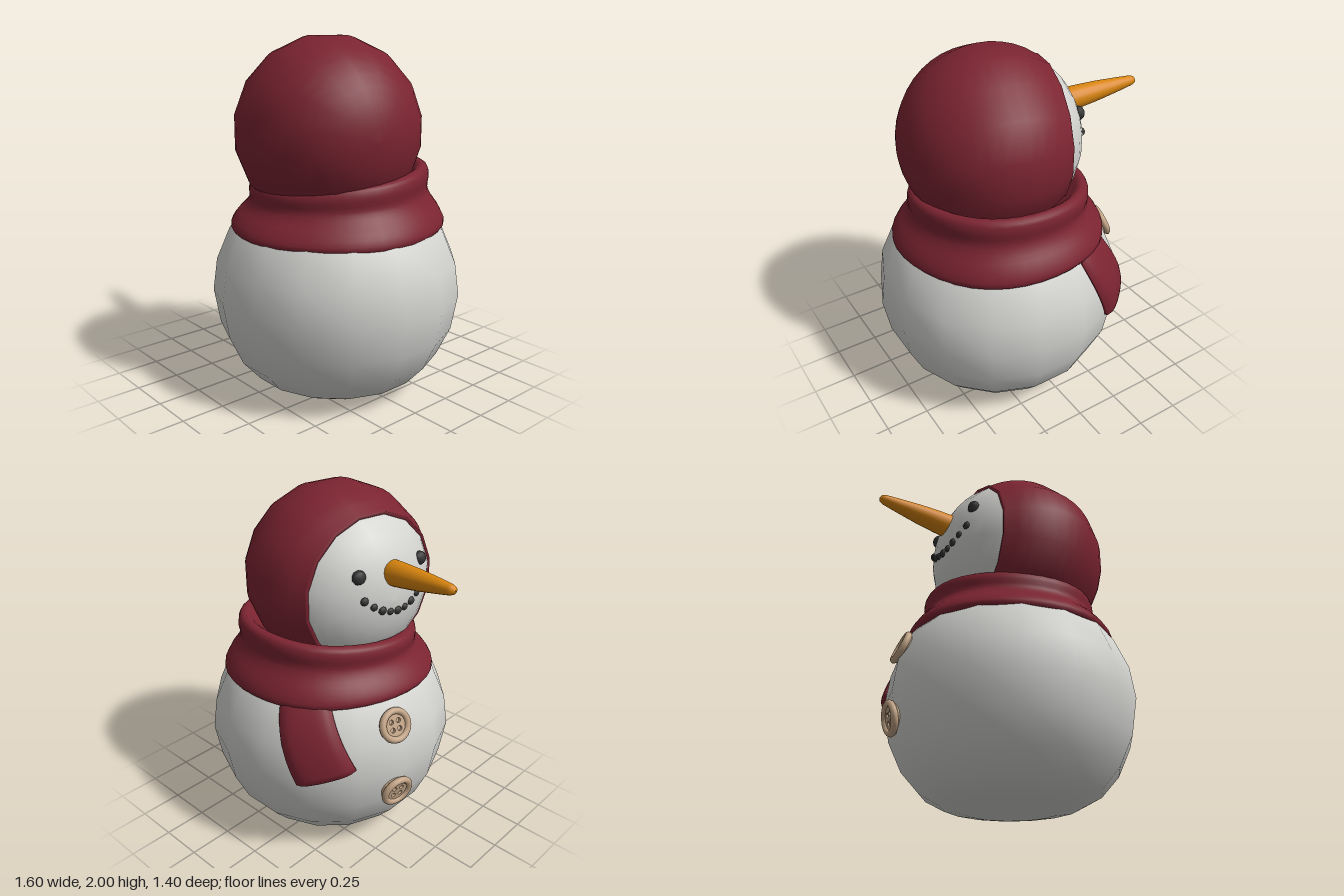
import * as THREE from 'three';
import { mergeVertices } from 'three/addons/utils/BufferGeometryUtils.js';

const V2 = (p) => p.map(([x, y]) => new THREE.Vector2(x, y));
const lerp = THREE.MathUtils.lerp;
const HALF = Math.PI / 16; // half a step of the 16-sided balls
const GROW = 1 / Math.cos(HALF);
const CX = 0.1; // axis of the body

const material = (name, color) => {
  const m = new THREE.MeshStandardMaterial({ color });
  m.name = name;
  return m;
};

// Move every vertex by a rule, then rebuild smooth normals without a seam
function reshape(geometry, rule) {
  geometry.deleteAttribute('uv');
  geometry.deleteAttribute('normal');
  const p = geometry.attributes.position, v = new THREE.Vector3();
  for (let i = 0; i < p.count; i++) {
    rule(v.fromBufferAttribute(p, i));
    p.setXYZ(i, v.x, v.y, v.z);
  }
  const g = mergeVertices(geometry, 1e-4);
  g.computeVertexNormals();
  return g;
}

export function createModel() {
  const snow = material('snow', 0xd3d3d0);
  const wool = material('red wool', 0x7b2431);
  const carrot = material('carrot', 0xda860f);
  const coal = material('coal', 0x343434);
  const wood = material('button tan', 0xc2a486);

  const model = new THREE.Group();
  const add = (parent, name, geometry, mat) => {
    const mesh = new THREE.Mesh(geometry, mat);
    mesh.name = name;
    parent.add(mesh);
    return mesh;
  };

  // Body: a ball flattened at the bottom
  const bodyProfile = [
    [0, 0], [0.27, 0.004], [0.38, 0.025], [0.49, 0.085], [0.59, 0.2], [0.665, 0.365],
    [0.7, 0.57], [0.675, 0.755], [0.6, 0.935], [0.48, 1.08], [0.3, 1.19], [0, 1.24],
  ].map(([r, y]) => [r * GROW, y]);
  const body = add(model, 'body', new THREE.LatheGeometry(V2(bodyProfile), 16, HALF), snow);
  body.position.x = CX;

  // Head frame: local y points forward, local x up, local z to the side
  const head = new THREE.Group();
  head.name = 'headGroup';
  head.position.set(CX, 1.485, 0.065);
  head.rotation.set(0, -0.19, Math.PI / 2);
  model.add(head);

  const arc = (r, from, to, n) => Array.from({ length: n + 1 }, (_, i) => {
    const a = lerp(from, to, i / n);
    return [Math.max(0, r * Math.cos(a)) * GROW, r * Math.sin(a)];
  });
  add(head, 'head', new THREE.LatheGeometry(V2(arc(0.507, -0.1, Math.PI / 2, 12)), 16, HALF), snow);

  // Hood: the back of the ball, with a small lip round the face
  const hoodProfile = arc(0.515, -Math.PI / 2, Math.asin(0.3 / 0.515), 16);
  hoodProfile.push([0.417 * GROW, 0.312], [0.4 * GROW, 0.308], [0.395 * GROW, 0.28]);
  add(head, 'hood', new THREE.LatheGeometry(V2(hoodProfile), 16, HALF), wool);

  // Eyes and mouth sit on the surface of the head
  const stone = (name, up, side, r) => {
    const mesh = add(head, name, new THREE.SphereGeometry(r, 10, 7), coal);
    mesh.position.set(up, Math.sqrt(0.505 ** 2 - up * up - side * side), side);
    mesh.scale.y = 0.8;
  };
  for (const s of [-1, 1]) stone(s < 0 ? 'rightEye' : 'leftEye', 0.155, 0.03 + s * 0.215, 0.04);
  for (let i = 0; i < 9; i++) {
    const t = i / 4 - 1;
    stone('mouthStone', -0.06 + 0.09 * t * t, 0.03 + 0.2 * t, i % 2 ? 0.021 : 0.024);
  }

  // Carrot nose with a rounded tip
  const base = new THREE.Vector3(-0.355, 1.627, -0.005);
  const along = new THREE.Vector3(-0.8, 1.675, -0.07).sub(base);
  const len = along.length();
  const nose = add(model, 'nose', new THREE.LatheGeometry(V2([
    [0, 0], [0.062, 0], [0.069, 0.012], [0.066, 0.08], [0.056, len * 0.45], [0.04, len * 0.75],
    [0.029, len * 0.93], [0.02, len * 0.98], [0, len],
  ]), 18), carrot);
  nose.position.copy(base);
  nose.quaternion.setFromUnitVectors(new THREE.Vector3(0, 1, 0), along.normalize());

  // Scarf: a folded ring, higher at the back than at the front
  const scarfProfile = new THREE.CatmullRomCurve3([
    [0.46, 0.95], [0.58, 0.935], [0.615, 0.965], [0.585, 1.03], [0.535, 1.09], [0.51, 1.14],
    [0.515, 1.2], [0.5, 1.245], [0.46, 1.255], [0.42, 1.22], [0.36, 1.17],
  ].map(([r, y]) => new THREE.Vector3(r, y, 0)));
  const scarf = new THREE.LatheGeometry(V2(scarfProfile.getPoints(26).map((p) => [p.x, p.y])), 40);
  add(model, 'scarf', reshape(scarf, (v) => {
    const r = Math.hypot(v.x, v.z), c = v.x / r, s = v.z / r;
    const t = THREE.MathUtils.clamp((v.y - 0.94) / 0.31, 0, 1);
    v.y += lerp(-0.012 * c - 0.01 * s, 0.012 * c - 0.045 * s, t);
    const ripple = 1 + 0.008 * Math.sin(5 * Math.atan2(s, c));
    v.x = CX + v.x * ripple * 0.98;
    v.z = v.z * ripple - 0.012 * t;
  }), wool).position.z = -0.003;

  // Loose scarf end, draped over the body
  const tail = new THREE.BoxGeometry(1, 1, 1, 10, 14, 2);
  add(model, 'scarfTail', reshape(tail, (v) => {
    const across = v.x + 0.5, down = 0.5 - v.y;
    const angle = THREE.MathUtils.degToRad(
      lerp(lerp(73, 46, across), lerp(61, 35, across), down ** 1.4));
    const y = lerp(1.02, lerp(0.55, 0.65, across), down);
    const round = 1 - (2 * across - 1) ** 6;
    const thickness = (v.z + 0.5) * (0.018 + 0.024 * round);
    const r = Math.sqrt(0.705 ** 2 - (y - 0.57) ** 2) + thickness;
    v.set(CX - r * Math.cos(angle), y, -r * Math.sin(angle));
  }), wool);

  // Buttons: a pierced disc on a backing, with a raised rim
  const disc = new THREE.Shape().absarc(0, 0, 0.085, 0, Math.PI * 2);
  for (let i = 0; i < 4; i++) {
    const a = Math.PI / 4 + i * Math.PI / 2;
    disc.holes.push(new THREE.Path().absarc(0.032 * Math.cos(a), 0.032 * Math.sin(a), 0.014, 0, Math.PI * 2, true));
  }
  const face = new THREE.ExtrudeGeometry(disc, { depth: 0.018, bevelEnabled: false, curveSegments: 12 });
  const rim = new THREE.TorusGeometry(0.08, 0.02, 10, 28);
  const backing = new THREE.CylinderGeometry(0.085, 0.085, 0.03, 24).rotateX(Math.PI / 2);
  for (const elevation of [0.39, -0.2]) {
    const button = new THREE.Group();
    button.name = 'button';
    const yaw = 0.25, c = Math.cos(elevation);
    const n = new THREE.Vector3(-c * Math.cos(yaw), Math.sin(elevation), -c * Math.sin(yaw));
    button.position.set(CX, 0.57, 0).addScaledVector(n, 0.705);
    button.lookAt(button.position.clone().add(n));
    add(button, 'buttonFace', face, wood);
    add(button, 'buttonRim', rim, wood).position.z = 0.014;
    add(button, 'buttonBacking', backing, wood).position.z = -0.014;
    model.add(button);
  }

  return model;
}
